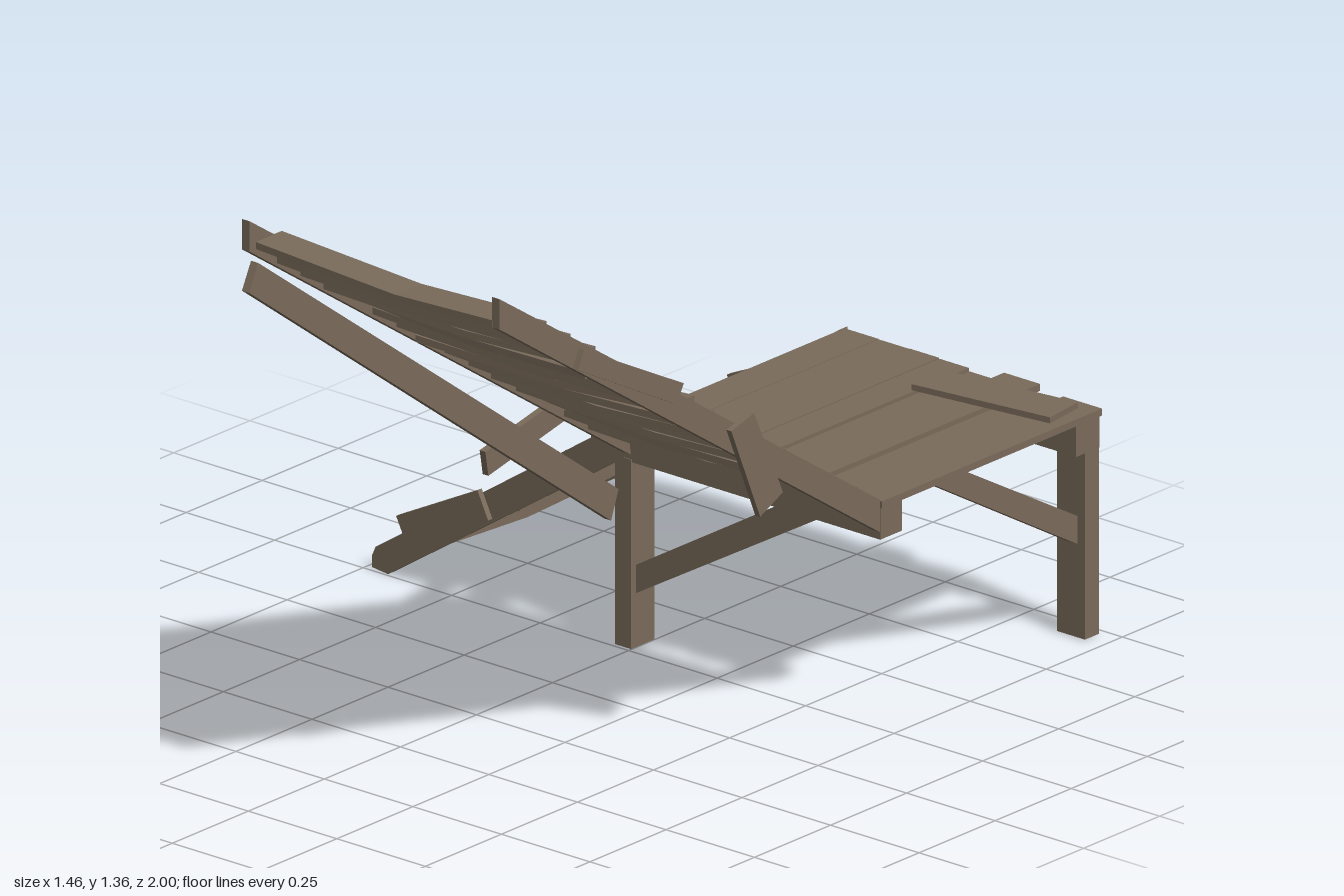
import * as THREE from 'three';

const wood = new THREE.MeshStandardMaterial({ color: 0x7a6b5b });
wood.name = 'weathered wood';

export function createModel() {
  const model = new THREE.Group();
  model.name = 'woodenStairs';

  const add = (name, geometry) => {
    const mesh = new THREE.Mesh(geometry, wood);
    mesh.name = name;
    model.add(mesh);
    return mesh;
  };
  // box given by its min and max on each axis
  const block = (name, x0, x1, y0, y1, z0, z1) => {
    const g = new THREE.BoxGeometry(x1 - x0, y1 - y0, z1 - z0);
    return add(name, g.translate((x0 + x1) / 2, (y0 + y1) / 2, (z0 + z1) / 2));
  };
  // flat plank with an outline in the x-y plane, between two z values
  const plankXY = (name, pts, z0, z1) => {
    const shape = new THREE.Shape(pts.map(p => new THREE.Vector2(p[0], p[1])));
    const g = new THREE.ExtrudeGeometry(shape, { depth: z1 - z0, bevelEnabled: false });
    return add(name, g.translate(0, 0, z0));
  };
  // flat plank with an outline in the z-y plane, between two x values
  const plankZY = (name, pts, x0, x1) => {
    const shape = new THREE.Shape(pts.map(p => new THREE.Vector2(-p[0], p[1])));
    const g = new THREE.ExtrudeGeometry(shape, { depth: x1 - x0, bevelEnabled: false });
    return add(name, g.rotateY(Math.PI / 2).translate(x0, 0, 0));
  };
  // worn tread: a board along x that sags to a crease near its middle
  const treadGeometry = (length, depth, sag, crease) => {
    const g = new THREE.BoxGeometry(length, 0.016, depth, 2, 1, 1);
    const p = g.attributes.position;
    for (let i = 0; i < p.count; i++) {
      if (Math.abs(p.getX(i)) < 0.001) {
        p.setX(i, crease);
        p.setY(i, p.getY(i) - sag);
      }
    }
    const flat = g.toNonIndexed();
    flat.computeVertexNormals();
    return flat;
  };

  // upper flight: side stringers, lower beam and treads
  const upperSide = [[1, 1.36], [1, 1.29], [-0.25, 0.455], [-0.25, 0.53]];
  plankZY('upperStringerRight', upperSide, -0.018, 0.004);
  plankZY('upperStringerLeft', upperSide, 0.688, 0.71);
  plankZY('brokenHandrail', [[0.97, 1.255], [1, 1.195], [-0.19, 0.32], [-0.215, 0.385]], -0.018, 0.002);

  const upperYaw = [0, 0, -0.05, 0, 0.01, 0, 0, 0.05, 0, 0, -0.06, 0.01, 0, 0, -0.03];
  const upperCrease = [0.03, 0.06, -0.02, 0.05, 0, 0.02, -0.03, 0.04, 0.03, 0.02, 0, 0.05, -0.02, 0.01, 0.06];
  upperYaw.forEach((yaw, i) => {
    const sag = 0.01 + 0.008 * ((i * 3) % 4) / 3;
    const tread = add('upperTread', treadGeometry(0.69, 0.086, sag, upperCrease[i]));
    tread.position.set(0.347, 0.562 + i * 0.0526, -0.155 + i * 0.0787);
    tread.rotation.y = yaw;
  });

  // repair boards nailed to the upper flight
  plankZY('upperPatch', [[0.74, 1.17], [0.76, 1.13], [0.435, 0.955], [0.412, 0.997]], 0.71, 0.725);
  plankZY('upperPatch', [[0.255, 0.84], [0.18, 0.86], [0.085, 0.65], [0.16, 0.615]], 0.71, 0.724);
  plankZY('upperPatch', [[0.2, 0.588], [0.19, 0.53], [-0.2, 0.612], [-0.185, 0.668]], -0.034, -0.018);

  // lower flight: stringers and treads
  const lowerSide = [[-0.015, 0.527], [-0.72, 0.057], [-0.73, 0.035], [-0.73, 0.008], [-0.685, 0.003], [0, 0.452]];
  plankXY('lowerStringerFront', lowerSide, -0.278, -0.256);
  plankXY('lowerStringerBack', lowerSide, -0.986, -0.964);

  const lowerYaw = [0, -0.01, 0, 0, 0.06, 0, -0.01, -0.03, -0.05];
  lowerYaw.forEach((yaw, i) => {
    const sag = 0.008 + 0.008 * ((i * 2) % 3) / 2;
    const depth = i === 0 ? 0.046 : 0.075;
    const tread = add('lowerTread', treadGeometry(0.69, depth, sag, ((i * 5) % 4 - 1.5) * 0.03));
    tread.position.set(-0.705 + i * 0.0787, 0.027 + i * 0.0528, -0.62);
    tread.rotation.y = Math.PI / 2 + yaw;
  });

  // repair boards nailed to the lower flight
  plankXY('lowerPatch', [[-0.65, 0.15], [-0.62, 0.09], [-0.39, 0.205], [-0.42, 0.267]], -0.256, -0.242);
  plankXY('lowerPatch', [[-0.355, 0.33], [-0.33, 0.27], [-0.11, 0.367], [-0.135, 0.43]], -0.998, -0.986);
  plankXY('lowerPatch', [[-0.64, 0.085], [-0.605, 0.04], [-0.335, 0.262], [-0.375, 0.305]], -0.994, -0.986);

  // deck boards along z, with uneven ends: x from, x to, back z, front z, top y
  const deck = [
    [-0.018, 0.078, -0.98, -0.256, 0.524], [0.079, 0.166, -0.98, -0.254, 0.523],
    [0.167, 0.25, -0.98, -0.242, 0.524], [0.251, 0.334, -0.98, -0.242, 0.522],
    [0.34, 0.412, -0.975, -0.256, 0.517], [0.416, 0.518, -1.0, -0.256, 0.526],
    [0.524, 0.594, -0.97, -0.242, 0.518], [0.6, 0.71, -0.98, -0.256, 0.524],
  ];
  deck.forEach(([x0, x1, z0, z1, y]) => block('deckBoard', x0, x1, y - 0.016, y, z0, z1));
  const patch = block('deckPatch', -0.178, 0.178, -0.007, 0.007, -0.054, 0.054);
  patch.position.set(0.503, 0.533, -0.868);
  patch.rotation.y = 0.125;

  // beams under the deck
  block('deckBeamFront', -0.018, 0.704, 0.434, 0.511, -0.33, -0.258);
  block('deckBeamBack', -0.018, 0.704, 0.434, 0.511, -0.978, -0.902);

  // two legs on opposite corners, each with a diagonal brace
  block('frontLeg', -0.044, 0.002, 0.005, 0.44, -0.333, -0.256);
  block('backLeg', 0.624, 0.703, 0.005, 0.44, -0.978, -0.932);
  plankXY('frontBrace', [[-0.005, 0.125], [-0.005, 0.19], [0.44, 0.455], [0.56, 0.455]], -0.306, -0.272);
  plankZY('backBrace', [[-0.965, 0.2], [-0.965, 0.265], [-0.535, 0.512], [-0.43, 0.512]], 0.648, 0.682);

  return model;
}
